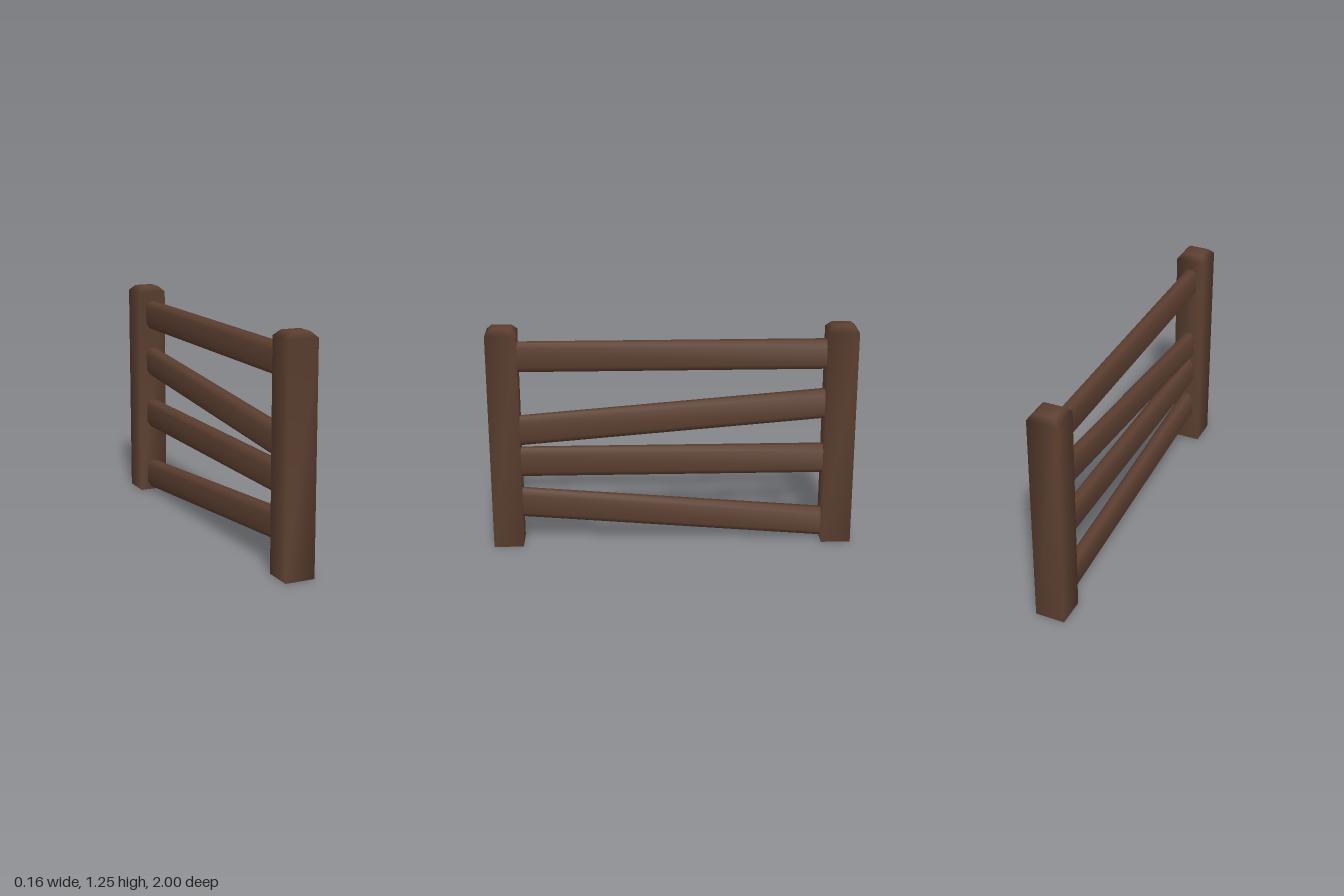
import * as THREE from 'three';

// Skins a list of equal-length rings (each counter-clockwise seen from the far end) with shared, smooth vertices.
function loft(rings, capEnd) {
  const n = rings[0].length;
  const points = rings.flat();
  const index = [];
  for (let r = 0; r < rings.length - 1; r++) {
    for (let i = 0; i < n; i++) {
      const a = r * n + i, b = r * n + (i + 1) % n;
      index.push(a, b, b + n, a, b + n, a + n);
    }
  }
  if (capEnd) {
    const last = rings[rings.length - 1];
    const centre = last.reduce((s, p) => s.add(p), new THREE.Vector3()).divideScalar(n);
    const start = (rings.length - 1) * n;
    for (let i = 0; i < n; i++) index.push(start + i, start + (i + 1) % n, points.length);
    points.push(centre);
  }
  const geometry = new THREE.BufferGeometry().setFromPoints(points);
  geometry.setIndex(index);
  geometry.computeVertexNormals();
  return geometry;
}

// Square post, open underneath, with a chamfered top
function postGeometry() {
  const square = (h, y) => [[-1, 1], [1, 1], [1, -1], [-1, -1]]
    .map(([x, z]) => new THREE.Vector3(x * h, y, z * h));
  return loft([square(0.082, 0), square(0.082, 1.22), square(0.053, 1.25)], true);
}

// Chamfered plank between two heights, its ends hidden inside the posts
function railGeometry(backY, frontY) {
  const section = [[0.04, -0.052], [0.04, 0.052], [0.018, 0.081], [-0.018, 0.081],
    [-0.04, 0.052], [-0.04, -0.052], [-0.018, -0.081], [0.018, -0.081]];
  const ring = (cy, z) => section.map(([x, y]) => new THREE.Vector3(x, cy + y, z));
  return loft([ring(backY, -0.91), ring(frontY, 0.91)], false);
}

export function createModel() {
  const model = new THREE.Group();
  model.name = 'fence';
  const wood = new THREE.MeshStandardMaterial({ color: 0x5c3f30, side: THREE.DoubleSide });
  wood.name = 'dark brown wood';

  const add = (name, geometry, z = 0) => {
    const mesh = new THREE.Mesh(geometry, wood);
    mesh.name = name;
    mesh.position.z = z;
    model.add(mesh);
  };

  const post = postGeometry();
  add('frontPost', post, 0.918);
  add('backPost', post, -0.918);

  // Rails: name, height at the back post, height at the front post
  const rails = [
    ['topRail', 1.084, 1.084],
    ['upperSlopingRail', 0.807, 0.658],
    ['middleRail', 0.481, 0.481],
    ['lowerSlopingRail', 0.093, 0.246],
  ];
  for (const [name, backY, frontY] of rails) add(name, railGeometry(backY, frontY));

  return model;
}
